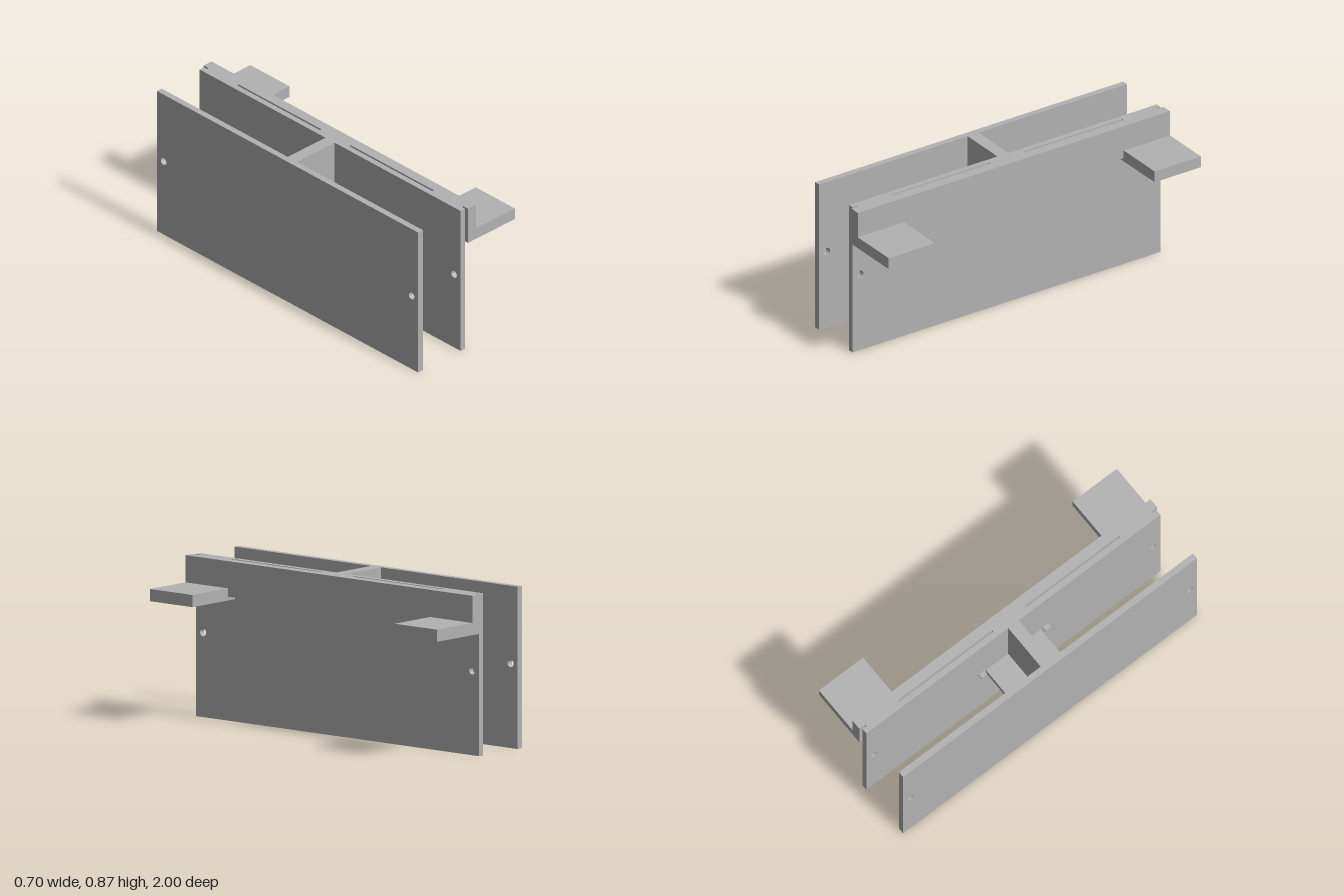
import * as THREE from 'three';

const TOP = 0.866;

export function createModel() {
  const model = new THREE.Group();
  model.name = 'doublePanelBracket';
  const grey = new THREE.MeshStandardMaterial({ color: 0xb2b2b2 });
  grey.name = 'grey';

  // Box given by its minimum and maximum on each axis
  function box(name, [x0, x1], [y0, y1], [z0, z1]) {
    const mesh = new THREE.Mesh(new THREE.BoxGeometry(x1 - x0, y1 - y0, z1 - z0), grey);
    mesh.position.set((x0 + x1) / 2, (y0 + y1) / 2, (z0 + z1) / 2);
    mesh.name = name;
    model.add(mesh);
  }

  // Upright panel with a round hole near each end
  function panel(name, x0, x1) {
    const half = 0.987;
    const shape = new THREE.Shape();
    shape.moveTo(-half, 0).lineTo(half, 0).lineTo(half, TOP).lineTo(-half, TOP).closePath();
    for (const side of [-1, 1]) {
      const hole = new THREE.Path();
      hole.absarc(side * 0.938, 0.452, 0.021, 0, Math.PI * 2, true);
      shape.holes.push(hole);
    }
    const geometry = new THREE.ExtrudeGeometry(shape, {
      depth: x1 - x0, bevelEnabled: false, curveSegments: 24,
    });
    geometry.rotateY(Math.PI / 2);
    const mesh = new THREE.Mesh(geometry, grey);
    mesh.position.x = x0;
    mesh.name = name;
    model.add(mesh);
  }

  panel('rightPanel', -0.35, -0.315);
  panel('leftPanel', -0.039, -0.007);

  // Central web and the shelf crossing its foot
  box('centreWeb', [-0.315, -0.039], [0.428, TOP], [-0.035, 0.035]);
  for (const s of [-1, 1]) {
    const span = (a, b) => (s > 0 ? [a, b] : [-b, -a]);
    box('shelf', [-0.315, -0.039], [0.428, 0.47], span(0.035, 0.184));

    // Small stops on the inner panel faces
    box('stop', [-0.315, -0.29], [0.471, 0.485], span(0.195, 0.232));
    box('stop', [-0.065, -0.039], [0.471, 0.485], span(0.195, 0.232));

    // Spacer between panel and rail, leaving slots on either side
    box('outerSpacer', [-0.007, 0.004], [0.676, TOP], span(0.742, 0.962));

    // Arm at the end of the rail
    box('arm', [0.004, 0.347], [0.656, 0.721], span(0.704, 1));
  }
  box('centreSpacer', [-0.007, 0.004], [0.676, TOP], [-0.11, 0.11]);

  // Rail along the top of the left panel
  box('rail', [0.004, 0.062], [0.676, TOP], [-1, 1]);

  return model;
}
